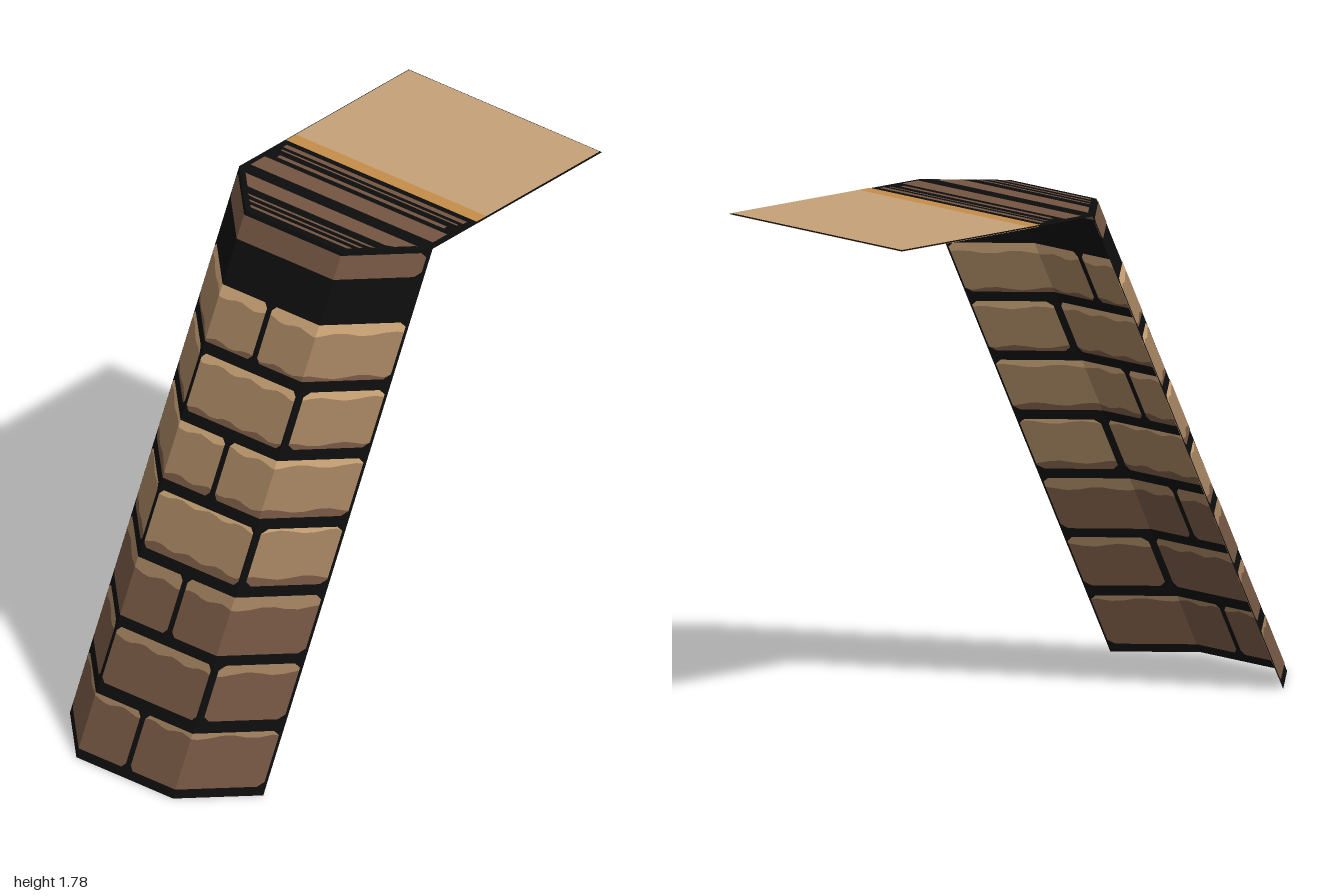
import * as THREE from 'three';

const W = 0.44, F = 0.22, H = 1.78;

const material = (name, color) =>
  new THREE.MeshStandardMaterial({ name, color, side: THREE.DoubleSide });

// setback of the two angled side panels
const setback = x => Math.max(0, Math.abs(x) - F);

// leaning three-sided wall, and the flat sheet on top (v runs towards the back)
const onWall = (x, y, off) => [x, y, 1 - setback(x) - y / 2 + off];
const onCap = (x, v, off) => [x, H + off, -v];

// sheet between a lower and an upper curve, mapped onto a surface
function sheet(xs, lower, upper, place, offsets) {
  const pos = [];
  for (const off of offsets) {
    for (let i = 0; i < xs.length - 1; i++) {
      const a = xs[i], b = xs[i + 1];
      const p = place(a, lower(a), off), q = place(b, lower(b), off);
      const r = place(b, upper(b), off), s = place(a, upper(a), off);
      pos.push(...p, ...q, ...r, ...p, ...r, ...s);
    }
  }
  const g = new THREE.BufferGeometry();
  g.setAttribute('position', new THREE.Float32BufferAttribute(pos, 3));
  g.computeVertexNormals();
  return g;
}

// x stations, always including the panel folds and the cut corners
function stations(x0, x1, cut, step = 0.03) {
  const xs = [x0, x0 + cut, x1 - cut, x1];
  for (const f of [-F, F]) if (f > x0 && f < x1) xs.push(f);
  for (let x = x0 + cut + step; x < x1 - cut; x += step) xs.push(x);
  return [...new Set(xs)].sort((a, b) => a - b);
}

export function createModel() {
  const model = new THREE.Group();
  const mortar = material('mortar black', 0x0d0d0d);
  const brown = material('brick brown', 0x735541);
  const tan = material('brick tan', 0xa0805d);
  const light = material('brick highlight', 0xd0a87a);
  const capTan = material('cap tan', 0xc4a077);
  const orange = material('cap orange', 0xc48d4b);

  const add = (parent, name, geometry, mat) => {
    const mesh = new THREE.Mesh(geometry, mat);
    mesh.name = name;
    parent.add(mesh);
  };
  const BOTH = [0.003, -0.003];
  const folds = [-W, -F, F, W];

  // base sheets
  add(model, 'wallMortar', sheet(folds, () => 0, () => H, onWall, [0]), mortar);
  add(model, 'capBase', sheet(folds, x => setback(x) - 0.11, () => 1, onCap, [0]), mortar);

  // one brick: bands of colour from bottom to top, with cut corners
  function brick(parent, x0, x1, y0, y1, bands) {
    const cut = 0.015;
    const xs = stations(x0, x1, cut);
    const inset = x => Math.max(0, cut - Math.min(x - x0, x1 - x));
    const clamp = (y, x) => Math.min(y1 - inset(x), Math.max(y0 + inset(x), y));
    let from = y0;
    bands.forEach(([mat, to], i) => {
      const last = i === bands.length - 1;
      const start = from;
      const wave = (y, x, flat) => clamp(flat ? y : y + 0.006 * Math.sin(x * 47 + y * 30), x);
      add(parent, 'brick', sheet(xs, x => wave(start, x, i === 0), x => wave(to, x, last), onWall, BOTH), mat);
      from = to;
    });
  }

  // brick rows: bottom, top, shadow depth, body, highlight depth, highlight
  const rows = [
    [0.03, 0.212, 0, brown, 0.015, tan],
    [0.25, 0.432, 0, brown, 0.03, tan],
    [0.465, 0.655, 0, brown, 0.04, tan],
    [0.69, 0.877, 0.025, tan, 0.012, light],
    [0.912, 1.1, 0.022, tan, 0.022, light],
    [1.135, 1.322, 0.015, tan, 0.025, light],
    [1.357, 1.542, 0.012, tan, 0.035, light],
  ];
  rows.forEach(([y0, y1, shade, body, shine, top], i) => {
    const row = new THREE.Group();
    row.name = 'brickRow' + (i + 1);
    const joints = i % 2 ? [-0.225, 0.225] : [0];
    const ends = [-W - 0.005, ...joints, W + 0.005];
    const bands = [[body, y1 - shine], [top, y1]];
    if (shade) bands.unshift([brown, y0 + shade]);
    for (let k = 0; k < ends.length - 1; k++) {
      brick(row, ends[k] + 0.011, ends[k + 1] - 0.011, y0, y1, bands);
    }
    model.add(row);
  });

  // rim course at the top of the wall
  const rim = new THREE.Group();
  rim.name = 'rimCourse';
  brick(rim, -0.432, 0.432, 1.69, 1.768, [[brown, 1.768]]);
  model.add(rim);

  // cap plates: material, front z, back z, half width
  const plates = [
    ['capPanel', capTan, -0.4, -0.994, 0.434],
    ['capOrangeBand', orange, -0.348, -0.4, 0.434],
    ['capStripe', brown, -0.305, -0.325, 0.41],
    ['capStripe', brown, -0.282, -0.29, 0.4],
    ['capStripe', brown, -0.238, -0.255, 0.38],
    ['capStripe', brown, -0.14, -0.215, 0.415],
    ['capStripe', brown, -0.018, -0.085, 0.395],
    ['capStripe', brown, 0.028, 0.018, 0.29],
    ['capStripe', brown, 0.055, 0.046, 0.26],
    ['capStripe', brown, 0.098, 0.072, 0.23],
  ];
  for (const [name, mat, front, back, half] of plates) {
    const lower = x => Math.min(-back, Math.max(-front, setback(x) - 0.085));
    add(model, name, sheet(stations(-half, half, 0.01), lower, () => -back, onCap, BOTH), mat);
  }
  return model;
}
